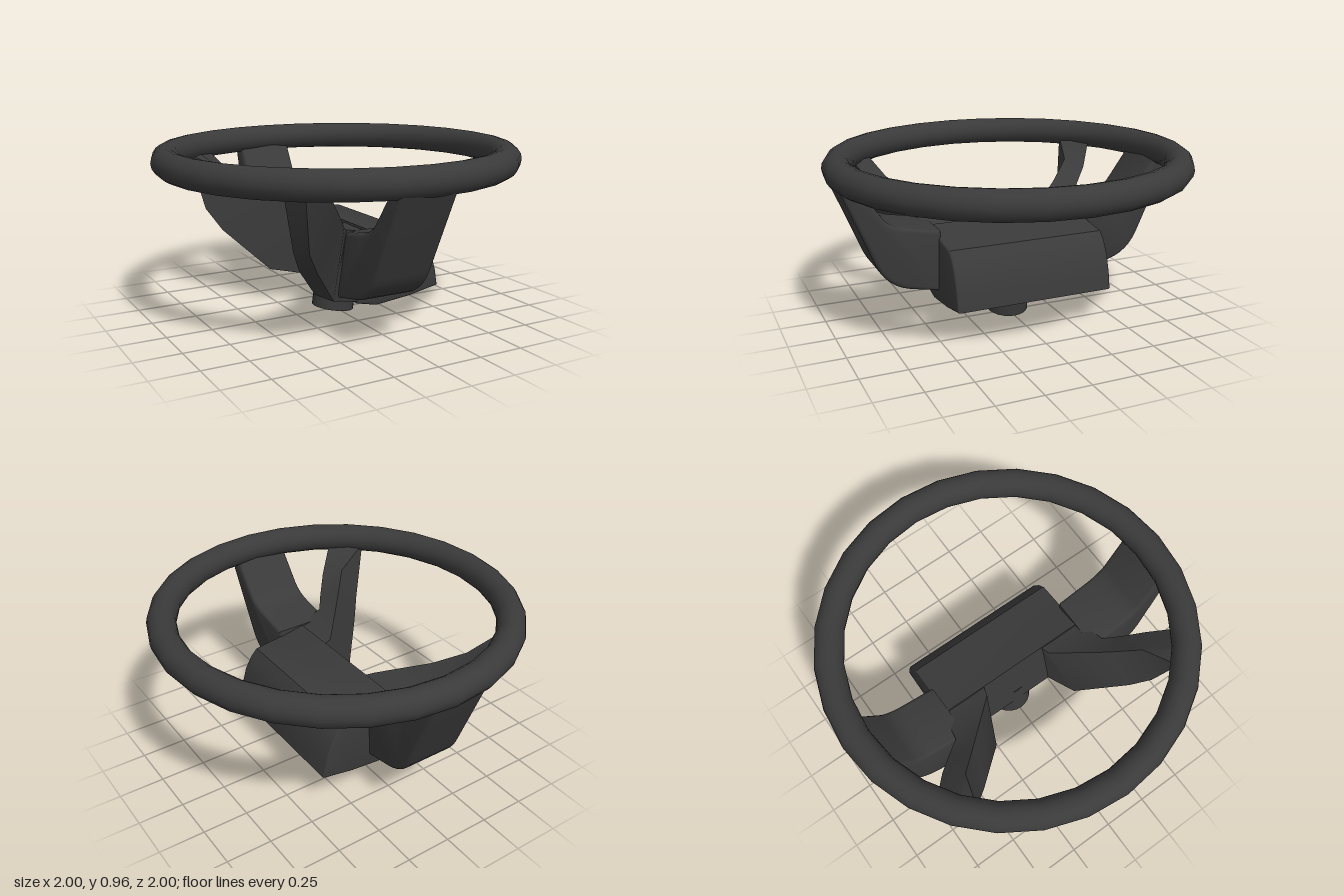
import * as THREE from 'three';
import { toCreasedNormals } from 'three/addons/utils/BufferGeometryUtils.js';

const material = new THREE.MeshStandardMaterial({ color: 0x3a3a3a });

function part(name, geometry) {
  const mesh = new THREE.Mesh(geometry, material);
  mesh.name = name;
  return mesh;
}

const points = (list, sx = 1) => list.map(([x, y]) => new THREE.Vector2(x * sx, y));

// Extrude a side profile, centred on its own depth
function slab(shape, depth, bevel) {
  const geometry = new THREE.ExtrudeGeometry(shape, {
    depth: depth - 2 * bevel, curveSegments: 6, bevelEnabled: true,
    bevelSize: bevel, bevelOffset: -bevel, bevelThickness: bevel, bevelSegments: 3,
  });
  return geometry.translate(0, 0, -(depth - 2 * bevel) / 2);
}

// Skin four-cornered cross-sections; side = -1 mirrors them in z
function loft(sections, side) {
  const positions = sections.flat().flatMap(([x, y, z]) => [x, y, z * side]);
  const index = [];
  const tri = (a, b, c) => (side > 0 ? index.push(a, b, c) : index.push(a, c, b));
  for (let i = 0; i < sections.length - 1; i++) {
    for (let j = 0; j < 4; j++) {
      const a = i * 4 + j, b = i * 4 + (j + 1) % 4;
      tri(a, a + 4, b);
      tri(b, a + 4, b + 4);
    }
  }
  const last = (sections.length - 1) * 4;
  tri(0, 1, 2);
  tri(0, 2, 3);
  tri(last, last + 2, last + 1);
  tri(last, last + 3, last + 2);
  const geometry = new THREE.BufferGeometry();
  geometry.setAttribute('position', new THREE.Float32BufferAttribute(positions, 3));
  geometry.setIndex(index);
  return toCreasedNormals(geometry, 0.6);
}

// Wide spoke: rises from the end of the hub to the rim, leaning slightly in x
function spokeGeometry(side) {
  const shape = new THREE.Shape();
  shape.moveTo(0.42 * side, 0.215);
  shape.lineTo(0.6 * side, 0.25);
  shape.bezierCurveTo(0.69 * side, 0.27, 0.75 * side, 0.33, 0.78 * side, 0.4);
  shape.lineTo(0.965 * side, 0.85);
  shape.lineTo(0.87 * side, 0.85);
  shape.lineTo(0.74 * side, 0.66);
  shape.quadraticCurveTo(0.7 * side, 0.61, 0.62 * side, 0.595);
  shape.lineTo(0.43 * side, 0.56);
  const geometry = slab(shape, 0.32, 0.02).rotateY(-Math.PI / 2);
  const p = geometry.attributes.position;
  for (let i = 0; i < p.count; i++) {
    p.setX(i, p.getX(i) - 0.055 + (p.getY(i) - 0.5) * 0.05);
  }
  return toCreasedNormals(geometry, 0.6);
}

export function createModel() {
  const model = new THREE.Group();
  model.name = 'steeringWheel';

  // Rim, tilted a touch
  const rim = part('rim', new THREE.TorusGeometry(0.922, 0.077, 16, 28).rotateX(Math.PI / 2));
  rim.position.y = 0.88;
  rim.rotation.z = 0.005;
  model.add(rim);

  // Hub: curved face on the +x side
  const hubShape = new THREE.Shape(points([
    [-0.05, 0.555], [-0.115, 0.17], [0, 0.145], [0.2, 0.165], [0.385, 0.2],
    [0.37, 0.29], [0.34, 0.39], [0.3, 0.46], [0.262, 0.5], [0.12, 0.52],
  ]));
  model.add(part('hub', toCreasedNormals(slab(hubShape, 0.89, 0.012), 0.6)));

  // Column stub below the hub
  const column = part('columnStub', new THREE.CylinderGeometry(0.118, 0.118, 0.24, 24));
  column.rotation.z = -0.15;
  column.position.set(-0.004, 0.138, 0);
  model.add(column);

  // Diagonal arm sections: top inner, top outer, bottom outer, bottom inner
  const arm = [
    [[0.0, 0.54, 0.18], [0.02, 0.53, 0.45], [0.05, 0.155, 0.43], [-0.03, 0.155, 0.18]],
    [[-0.1, 0.55, 0.21], [-0.21, 0.585, 0.49], [-0.25, 0.2, 0.43], [-0.28, 0.2, 0.28]],
    [[-0.31, 0.66, 0.44], [-0.27, 0.62, 0.57], [-0.41, 0.4, 0.56], [-0.48, 0.41, 0.5]],
    [[-0.43, 0.75, 0.57], [-0.35, 0.71, 0.66], [-0.5, 0.53, 0.65], [-0.55, 0.53, 0.58]],
    [[-0.55, 0.85, 0.68], [-0.46, 0.85, 0.75], [-0.56, 0.85, 0.73], [-0.625, 0.85, 0.63]],
  ];
  for (const side of [1, -1]) {
    model.add(part(side > 0 ? 'frontSpoke' : 'backSpoke', spokeGeometry(side)));
    model.add(part(side > 0 ? 'frontDiagonalArm' : 'backDiagonalArm', loft(arm, side)));
  }
  return model;
}
